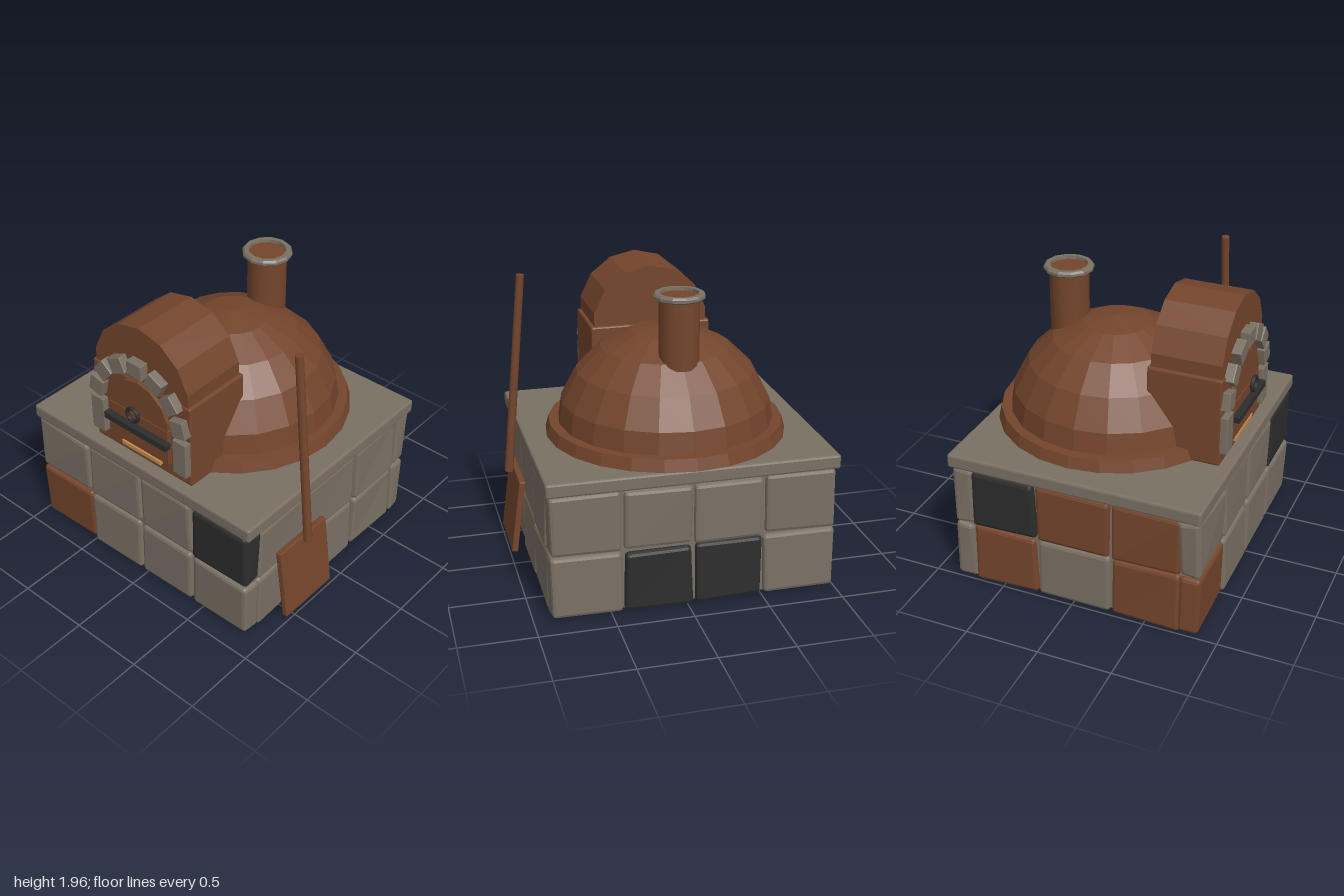
import * as THREE from 'three';
import { RoundedBoxGeometry } from 'three/addons/geometries/RoundedBoxGeometry.js';

const CX = -0.045; // centre line of the oven

function material(name, color) {
  const m = new THREE.MeshStandardMaterial({ color });
  m.name = name;
  return m;
}

// Small seeded generator for the uneven stonework
let seed = 7;
function jitter(amount) {
  seed = (seed * 16807) % 2147483647;
  return (seed / 2147483647 - 0.5) * 2 * amount;
}

const flat = (geo) => {
  const g = geo.index ? geo.toNonIndexed() : geo;
  g.computeVertexNormals();
  return g;
};

// Bevelled box given by its minimum and maximum corners
function boxBetween([x0, y0, z0], [x1, y1, z1], bevel = 0.012) {
  const g = new RoundedBoxGeometry(x1 - x0, y1 - y0, z1 - z0, 1, bevel);
  g.translate((x0 + x1) / 2, (y0 + y1) / 2, (z0 + z1) / 2);
  return flat(g);
}

// Hewn block: a bevelled box whose eight corners are pushed about slightly
function hewnBlock(w, h, d) {
  const g = new RoundedBoxGeometry(w, h, d, 1, 0.024);
  const p = g.attributes.position;
  const corners = Array.from({ length: 8 }, () => [jitter(0.01), jitter(0.009), jitter(0.008)]);
  for (let i = 0; i < p.count; i++) {
    const k = (p.getX(i) > 0 ? 1 : 0) + (p.getY(i) > 0 ? 2 : 0) + (p.getZ(i) > 0 ? 4 : 0);
    const c = corners[k];
    p.setXYZ(i, p.getX(i) + c[0], p.getY(i) + c[1], p.getZ(i) + c[2]);
  }
  return flat(g);
}

export function createModel() {
  seed = 7;
  const group = new THREE.Group();
  const stone = material('stone', 0x7a7064);
  const clay = material('clay', 0x74452c);
  const iron = material('iron', 0x2d2d2e);
  const wood = material('lightWood', 0xc68a4c);

  const add = (name, geo, mat, parent = group) => {
    const mesh = new THREE.Mesh(geo, mat);
    mesh.name = name;
    parent.add(mesh);
    return mesh;
  };

  // Base: inner core, four walls of blocks in two rows, and the slab
  add('baseCore', boxBetween([-0.95, 0.02, -0.81], [0.86, 0.87, 0.83]), stone);
  add('slab', boxBetween([-1, 0.855, -0.86], [0.905, 0.95, 0.87], 0.014), stone);

  const walls = new THREE.Group();
  walls.name = 'blockWalls';
  group.add(walls);
  const kinds = { s: stone, c: clay, i: iron };
  const rows = [[0.015, 0.428], [0.442, 0.845]];
  const xEdges = [-0.99, -0.5, -0.04, 0.418, 0.888];
  const zEdges = [-0.71, -0.25, 0.265, 0.75];
  // Colours run from low to high x or z, lower row first
  const wallPlan = [
    { name: 'frontBlock', alongX: true, at: 0.795, edges: xEdges, rows: ['csss', 'sssi'] },
    { name: 'backBlock', alongX: true, at: -0.775, edges: xEdges, rows: ['siis', 'ssss'] },
    { name: 'leftBlock', alongX: false, at: 0.82, edges: zEdges, rows: ['sss', 'sss'] },
    { name: 'rightBlock', alongX: false, at: -0.92, edges: zEdges, rows: ['csc', 'icc'] },
  ];
  for (const wall of wallPlan) {
    rows.forEach(([y0, y1], r) => {
      for (let i = 0; i < wall.edges.length - 1; i++) {
        const length = wall.edges[i + 1] - wall.edges[i] - 0.016;
        const mid = (wall.edges[i] + wall.edges[i + 1]) / 2;
        const size = wall.alongX ? [length, y1 - y0, 0.135] : [0.135, y1 - y0, length];
        const block = add(wall.name, hewnBlock(...size), kinds[wall.rows[r][i]], walls);
        block.position.set(wall.alongX ? mid : wall.at, (y0 + y1) / 2, wall.alongX ? wall.at : mid);
      }
    });
  }

  // Dome with its foot ring
  const dome = add('dome', flat(new THREE.SphereGeometry(0.73, 20, 5, 0, Math.PI * 2, 0, Math.PI / 2)), clay);
  dome.scale.y = 0.97;
  dome.position.set(CX, 0.952, -0.08);
  const foot = add('domeFoot', flat(new THREE.CylinderGeometry(0.78, 0.802, 0.08, 24)), clay);
  foot.position.set(CX, 0.99, -0.08);

  // Chimney pipe and rim
  const pipe = add('chimney', new THREE.CylinderGeometry(0.13, 0.13, 0.55, 16), clay);
  pipe.position.set(CX, 1.67, -0.42);
  const rimProfile = [[0.122, 1.925], [0.15, 1.925], [0.166, 1.937], [0.166, 1.953],
    [0.155, 1.966], [0.125, 1.966], [0.122, 1.925]].map(([x, y]) => new THREE.Vector2(x, y));
  const rim = add('chimneyRim', flat(new THREE.LatheGeometry(rimProfile, 12)), stone);
  rim.position.set(CX, 0, -0.42);

  // Porch: lower box and barrel roof
  add('porch', boxBetween([-0.46, 0.95, 0.295], [0.37, 1.555, 0.79]), clay);
  const barrel = new THREE.CylinderGeometry(0.4, 0.4, 0.465, 14).rotateX(-Math.PI / 2);
  add('porchRoof', flat(barrel), clay).position.set(CX, 1.555, 0.547);

  // Stone surround: two posts and seven arch stones
  for (const side of [-1, 1]) {
    const x = CX + side * 0.355;
    add('archPost', boxBetween([x - 0.055, 1.04, 0.77], [x + 0.055, 1.302, 0.835], 0.005), stone);
  }
  for (let i = 0; i < 7; i++) {
    const a = ((i + 0.5) / 7) * Math.PI;
    const archStone = add('archStone', flat(new RoundedBoxGeometry(0.11, 0.122, 0.07, 1, 0.005)), stone);
    archStone.position.set(CX + Math.cos(a) * 0.357, 1.32 + Math.sin(a) * 0.357, 0.806);
    archStone.rotation.z = a;
  }

  // Door: panel, arched top, bar, ring handle and sill
  add('doorPanel', boxBetween([-0.295, 1.055, 0.77], [0.205, 1.32, 0.82], 0.004), clay);
  const doorTop = new THREE.CylinderGeometry(0.25, 0.25, 0.045, 14).rotateX(-Math.PI / 2);
  add('doorTop', flat(doorTop), clay).position.set(CX, 1.322, 0.793);
  add('doorBar', boxBetween([-0.312, 1.197, 0.815], [0.225, 1.245, 0.864], 0.004), iron);
  add('doorRing', new THREE.TorusGeometry(0.047, 0.013, 8, 14), iron).position.set(CX, 1.355, 0.867);
  add('doorSill', boxBetween([-0.215, 1.003, 0.77], [0.125, 1.037, 0.815], 0.004), wood);

  // Peel leaning on the left side
  const peel = new THREE.Group();
  peel.name = 'peel';
  group.add(peel);
  const top = new THREE.Vector3(0.832, 1.943, 0.345);
  const end = new THREE.Vector3(0.963, 0.55, 0.345);
  const dir = top.clone().sub(end);
  const handle = add('peelHandle', new THREE.CylinderGeometry(0.027, 0.03, dir.length(), 10), clay, peel);
  handle.position.copy(top).add(end).multiplyScalar(0.5);
  handle.quaternion.setFromUnitVectors(new THREE.Vector3(0, 1, 0), dir.normalize());
  const blade = add('peelBlade', flat(new RoundedBoxGeometry(0.043, 0.526, 0.465, 1, 0.008)), clay, peel);
  blade.position.set(0.94, 0.295, 0.343);
  blade.rotation.z = 0.135;

  return group;
}
